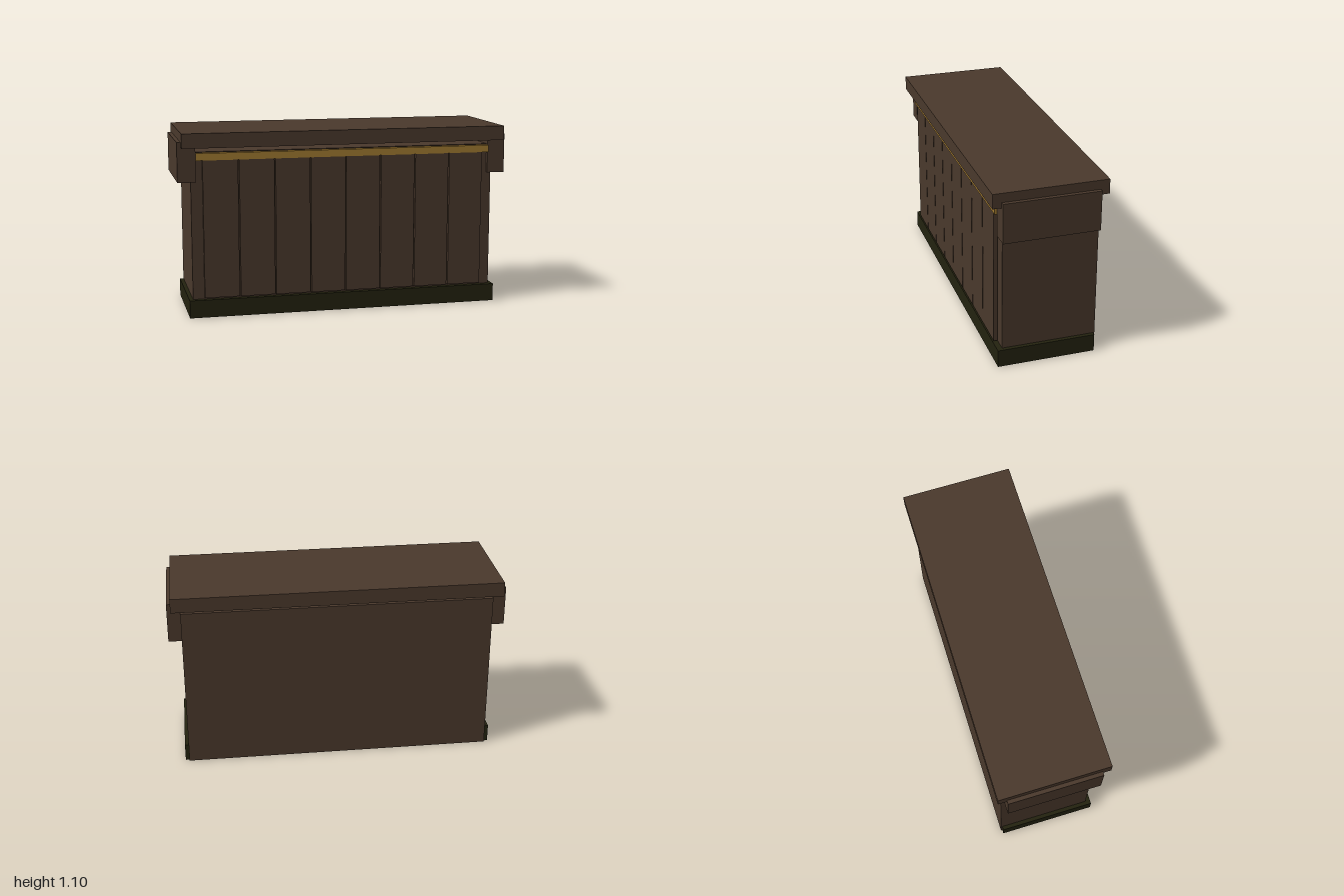
import * as THREE from 'three';

const material = (name, color) => {
  const m = new THREE.MeshStandardMaterial({ color });
  m.name = name;
  return m;
};

export function createModel() {
  const counter = new THREE.Group();
  counter.name = 'barCounter';
  const wood = material('darkWood', 0x4a392c);
  const plinthPaint = material('blackGreen', 0x23220f);
  const gold = material('gold', 0xa37c31);

  // Box given by its [min, max] extents along each axis
  const block = (name, mat, [x0, x1], [y0, y1], [z0, z1]) => {
    const mesh = new THREE.Mesh(new THREE.BoxGeometry(x1 - x0, y1 - y0, z1 - z0), mat);
    mesh.position.set((x0 + x1) / 2, (y0 + y1) / 2, (z0 + z1) / 2);
    mesh.name = name;
    counter.add(mesh);
  };

  // Carcass, back panel and plinth
  block('body', wood, [-0.922, 0.922], [0, 0.985], [-0.28, 0.26]);
  block('backPanel', wood, [-0.922, 0.922], [0, 0.99], [-0.3, -0.28]);
  block('plinth', plinthPaint, [-0.945, 0.945], [0.002, 0.108], [-0.291, 0.291]);

  // Worktop, floating just above the carcass on the end blocks
  block('worktop', wood, [-0.977, 0.977], [1.014, 1.1], [-0.333, 0.333]);
  block('rightEndBlock', wood, [-1, -0.893], [0.81, 1.046], [-0.281, 0.281]);
  block('leftEndBlock', wood, [0.893, 1], [0.81, 1.046], [-0.281, 0.281]);

  // Row of upright front boards, standing slightly off the carcass
  const boards = 8, pitch = 0.2145, half = 0.1035;
  for (let i = 0; i < boards; i++) {
    const x = (i - (boards - 1) / 2) * pitch;
    block('frontBoard' + (i + 1), wood, [x - half, x + half], [0.12, 0.95], [0.265, 0.288]);
  }

  // Gold strip over the board tops
  block('goldTrim', gold, [-0.893, 0.893], [0.938, 0.98], [0.262, 0.294]);

  return counter;
}
